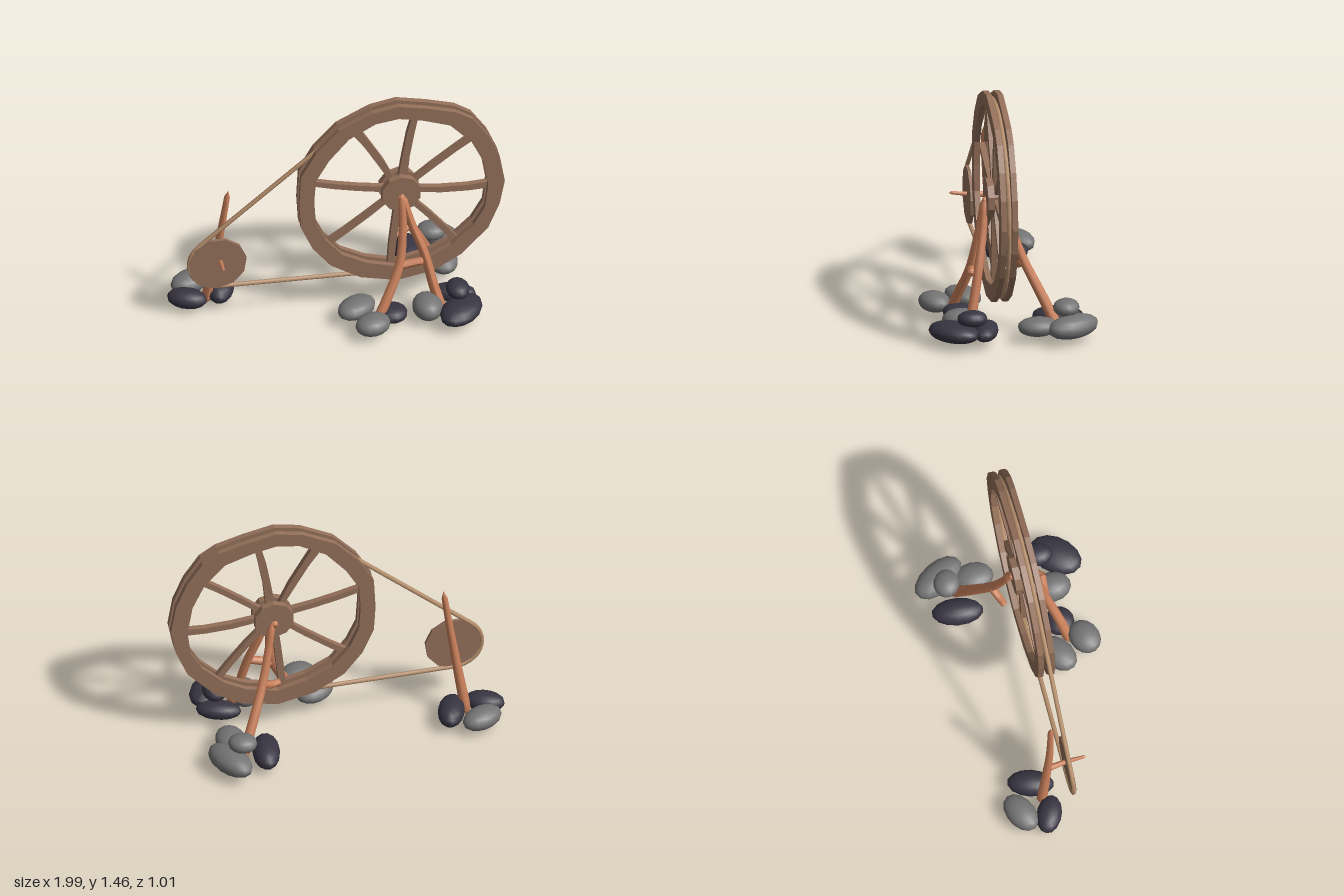
import * as THREE from 'three';

const mat = (color, flat = false) =>
  new THREE.MeshStandardMaterial({ color, flatShading: flat, side: THREE.DoubleSide });
const V3 = (p) => new THREE.Vector3(...p);
const CX = 0.375, CY = 0.82; // wheel centre
const PX = -0.725, PY = 0.43; // pulley centre

export function createModel() {
  const model = new THREE.Group();
  const wood = mat(0x94705a, true), branch = mat(0xcb815c), rope = mat(0xba926f);
  const grey = mat(0x747474), dark = mat(0x383542);

  const add = (name, geo, material, parent = model) => {
    const m = new THREE.Mesh(geo, material);
    m.name = name;
    parent.add(m);
    return m;
  };

  // Tapered, bent branch with rounded ends
  const limb = (name, pts, r0, r1, parent = model) => {
    const n = 18, sides = 8;
    const curve = new THREE.CatmullRomCurve3(pts.map(V3));
    const geo = new THREE.TubeGeometry(curve, n, 1, sides);
    const pos = geo.attributes.position, v = new THREE.Vector3();
    for (let i = 0; i <= n; i++) {
      const c = curve.getPointAt(i / n);
      const end = i === 0 || i === n ? 0.02 : 1;
      const r = THREE.MathUtils.lerp(r0, r1, i / n) * end;
      for (let j = 0; j <= sides; j++) {
        const k = i * (sides + 1) + j;
        v.fromBufferAttribute(pos, k).sub(c).multiplyScalar(r).add(c);
        pos.setXYZ(k, v.x, v.y, v.z);
      }
    }
    geo.computeVertexNormals();
    return add(name, geo, branch, parent);
  };

  // Flat round disc facing z
  const disc = (name, x, y, z, r, depth, sides, parent) => {
    const g = new THREE.CylinderGeometry(r, r, depth, sides).rotateX(Math.PI / 2);
    return add(name, g.translate(x, y, z), wood, parent);
  };

  // Wheel: two uneven hewn rims
  const wheel = new THREE.Group();
  wheel.name = 'wheel';
  model.add(wheel);
  const outer = [[.36, 1.46], [.2, 1.43], [0, 1.33], [-.14, 1.18], [-.23, 1.02], [-.24, .82], [-.23, .65],
    [-.16, .49], [-.05, .35], [.13, .24], [.35, .19], [.57, .23], [.74, .33], [.9, .5], [.97, .67],
    [1, .83], [.97, 1.01], [.905, 1.165], [.81, 1.305], [.71, 1.37], [.54, 1.42]];
  const inner = [[.36, 1.37], [.5, 1.34], [.67, 1.28], [.8, 1.14], [.87, .99], [.9, .81], [.88, .65],
    [.81, .53], [.675, .4], [.54, .33], [.35, .29], [.17, .34], [.02, .42], [-.08, .54], [-.14, .67],
    [-.15, .83], [-.14, .98], [-.06, 1.12], [.06, 1.26], [.22, 1.35]];
  const toV2 = (a) => a.map((p) => new THREE.Vector2(...p));
  const rimShape = new THREE.Shape(toV2(outer));
  rimShape.holes.push(new THREE.Path(toV2(inner)));
  for (const [name, z] of [['frontRim', 0.085], ['backRim', 0.018]]) {
    const g = new THREE.ExtrudeGeometry(rimShape, { depth: 0.034, bevelEnabled: false });
    add(name, g.translate(0, 0, z), wood, wheel);
  }

  // Hub: two plates around a core
  disc('frontHubPlate', CX, CY, 0.105, 0.122, 0.04, 10, wheel);
  disc('backHubPlate', CX, CY, 0.031, 0.122, 0.04, 10, wheel);
  disc('hubCore', CX, CY, 0.068, 0.09, 0.05, 10, wheel);

  // Crooked spokes: angle, width at hub, width at rim, sideways bend
  const spokes = [[37, .03, .04, .005], [80, .055, .035, .008], [120, .03, .06, -.008], [167, .04, .035, .008],
    [217, .03, .04, .005], [264, .045, .04, -.005], [309, .035, .04, .008], [357, .035, .045, -.015]];
  for (const [deg, w0, w1, bend] of spokes) {
    const wm = (w0 + w1) / 2;
    const s = new THREE.Shape(toV2([[.08, -w0 / 2], [.25, bend - wm / 2], [.41, bend - wm / 2], [.57, -w1 / 2],
      [.57, w1 / 2], [.41, bend + wm / 2], [.25, bend + wm / 2], [.08, w0 / 2]]));
    const g = new THREE.ExtrudeGeometry(s, { depth: 0.036, bevelEnabled: false });
    g.rotateZ(THREE.MathUtils.degToRad(deg)).translate(CX, CY, 0.05);
    add('spoke', g, wood, wheel);
  }

  // Pulley and its axle
  disc('pulley', PX, PY, 0.072, 0.176, 0.02, 11);
  limb('pulleyAxle', [[-.72, .43, -.05], [-.71, .44, .06], [-.71, .455, .19]], .021, .009);

  // Drive belt around wheel and pulley
  const belt = [];
  const arc = (x, y, r, from, to, steps) => {
    for (let i = 0; i <= steps; i++) {
      const a = THREE.MathUtils.degToRad(from + ((to - from) * i) / steps);
      belt.push(new THREE.Vector3(x + r * Math.cos(a), y + r * Math.sin(a), 0.067));
    }
  };
  arc(CX, CY, 0.59, 131, -94, 20);
  arc(PX, PY, 0.172, 266, 131, 10);
  const loop = new THREE.CurvePath();
  belt.forEach((p, i) => loop.add(new THREE.LineCurve3(p, belt[(i + 1) % belt.length])));
  add('driveBelt', new THREE.TubeGeometry(loop, 150, 0.0135, 6, true), rope);

  // Wheel axle, front legs, back leg, pulley post and their branch stubs
  limb('wheelAxle', [[.375, .8, -.01], [.375, .8, .07], [.375, .8, .15]], .022, .022);
  const stand = new THREE.Group();
  stand.name = 'stand';
  model.add(stand);
  limb('frontLeg', [[.375, .83, .13], [.375, .62, .165], [.345, .37, .215], [.25, .16, .28], [.17, .005, .32]],
    .022, .034, stand);
  limb('frontLeg', [[.375, .83, .13], [.43, .62, .15], [.5, .42, .185], [.55, .2, .225], [.6, .02, .26]],
    .022, .032, stand);
  limb('frontStub', [[.34, .36, .21], [.41, .375, .215], [.49, .39, .225]], .028, .024, stand);
  limb('backLeg', [[.39, .82, .005], [.415, .66, -.02], [.46, .47, -.08], [.55, .24, -.19], [.64, .03, -.29]],
    .022, .034, stand);
  limb('backStub', [[.47, .44, -.09], [.41, .405, -.06], [.35, .4, -.035]], .026, .02, stand);
  limb('pulleyPost', [[-.77, .015, -.1], [-.735, .24, -.07], [-.69, .56, -.03], [-.645, .89, -.01]], .034, .017);

  // Stones: material, x, y, z, half sizes x, y, z, turn about y
  const stones = [
    [grey, -.83, .09, -.24, .13, .06, .085, .45], [dark, -.88, .085, -.08, .12, .056, .075, -.4],
    [dark, -.665, .092, -.14, .08, .063, .14, -.3],
    [grey, .085, .1, .22, .13, .055, .09, .6], [grey, .15, .095, .4, .11, .058, .09, .4],
    [dark, .29, .075, .28, .09, .046, .09, 0],
    [grey, .5, .1, .29, .09, .068, .115, 0], [dark, .69, .097, .36, .165, .058, .11, .85],
    [dark, .69, .175, .25, .07, .048, .09, 0], [dark, .68, .09, .165, .135, .05, .07, -.3],
    [dark, .49, .09, -.29, .082, .065, .155, -.15], [grey, .72, .107, -.35, .095, .068, .17, .5],
    [grey, .64, .2, -.32, .087, .05, .078, -.3], [grey, .675, .1, -.145, .09, .055, .12, 0],
  ];
  const square = (c) => Math.sign(c) * Math.pow(Math.abs(c), 0.85);
  const pebble = new THREE.SphereGeometry(1, 14, 10);
  const pp = pebble.attributes.position;
  for (let i = 0; i < pp.count; i++) pp.setXYZ(i, pp.getX(i), square(pp.getY(i)), pp.getZ(i));
  for (const [m, x, y, z, a, b, c, turn] of stones) {
    const stone = add('stone', pebble, m);
    stone.position.set(x, y, z);
    stone.scale.set(a, b, c);
    stone.rotation.y = turn;
  }
  return model;
}
